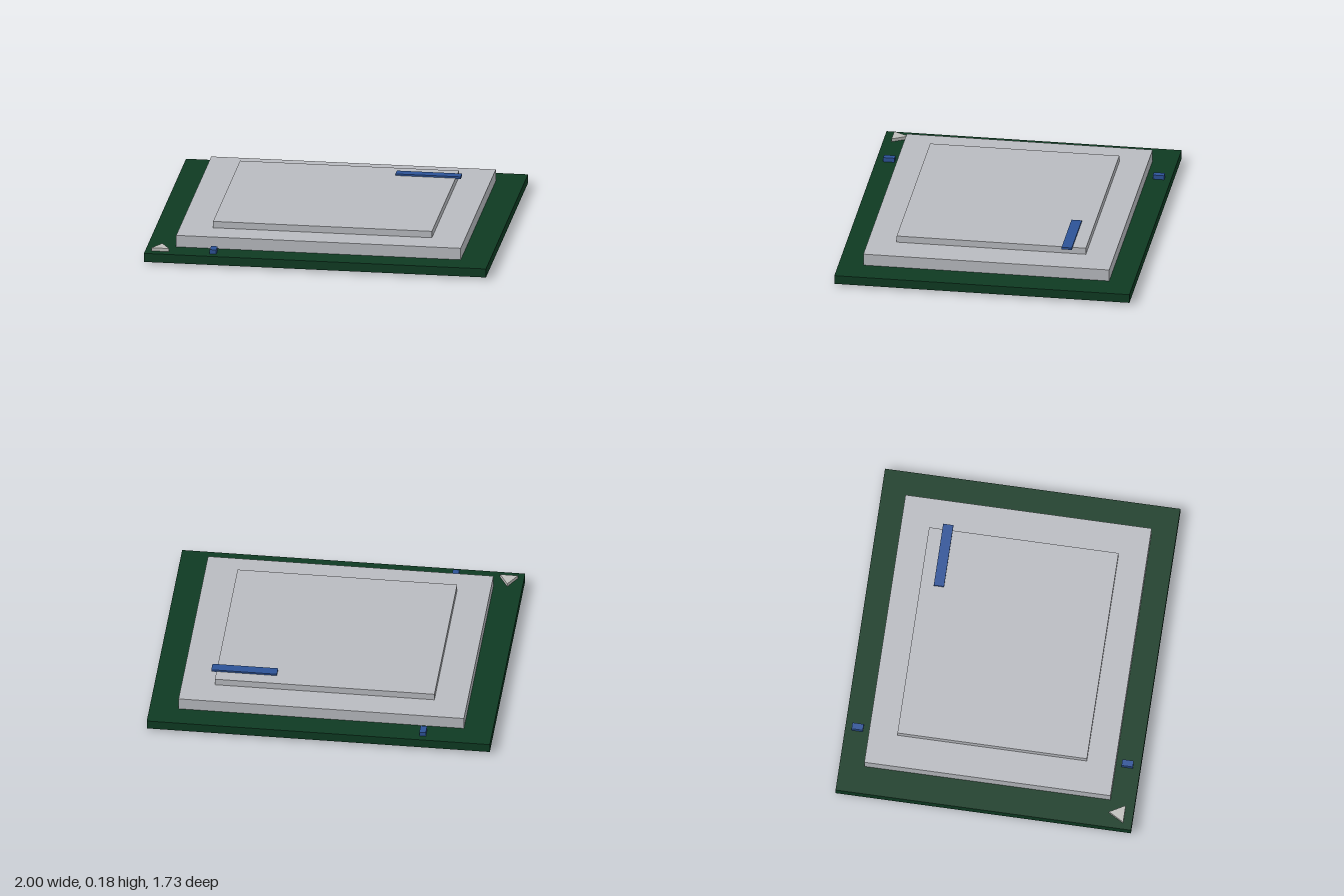
import * as THREE from 'three';

const material = (name, color) => {
  const m = new THREE.MeshStandardMaterial({ color });
  m.name = name;
  return m;
};

export function createModel() {
  const green = material('board green', 0x0e3a22);
  const silver = material('silver metal', 0xb8babf);
  const pale = material('pale marker', 0xbebebb);
  const blue = material('blue', 0x2c5296);

  const model = new THREE.Group();
  model.name = 'processorChip';

  // Box given by its extents on each axis
  const box = (name, mat, [x0, x1], [y0, y1], [z0, z1]) => {
    const mesh = new THREE.Mesh(new THREE.BoxGeometry(x1 - x0, y1 - y0, z1 - z0), mat);
    mesh.position.set((x0 + x1) / 2, (y0 + y1) / 2, (z0 + z1) / 2);
    mesh.name = name;
    model.add(mesh);
  };

  // Stacked body: contact plate, board, two-step heat spreader
  box('contactPlate', silver, [-0.93, 0.93], [0, 0.013], [-0.803, 0.803]);
  box('board', green, [-1, 1], [0.012, 0.064], [-0.864, 0.864]);
  box('heatSpreaderBase', silver, [-0.832, 0.832], [0.064, 0.134], [-0.72, 0.72]);
  box('heatSpreaderTop', silver, [-0.64, 0.64], [0.134, 0.173], [-0.554, 0.554]);

  // Stripe overhanging the top step
  box('stripe', blue, [0.288, 0.67], [0.17, 0.183], [-0.476, -0.416]);

  // Alignment keys near the front and back edges
  for (const [name, z] of [['backKey', -0.792], ['frontKey', 0.787]]) {
    box(name, blue, [-0.622, -0.584], [0.064, 0.09], [z - 0.033, z + 0.033]);
  }

  // Triangular corner marker pointing to the back
  const marker = new THREE.Mesh(
    new THREE.CylinderGeometry(0.06, 0.06, 0.02, 3).toNonIndexed(), pale);
  marker.geometry.computeVertexNormals();
  marker.rotation.y = Math.PI;
  marker.position.set(-0.912, 0.073, 0.783);
  marker.name = 'cornerMarker';
  model.add(marker);

  return model;
}
